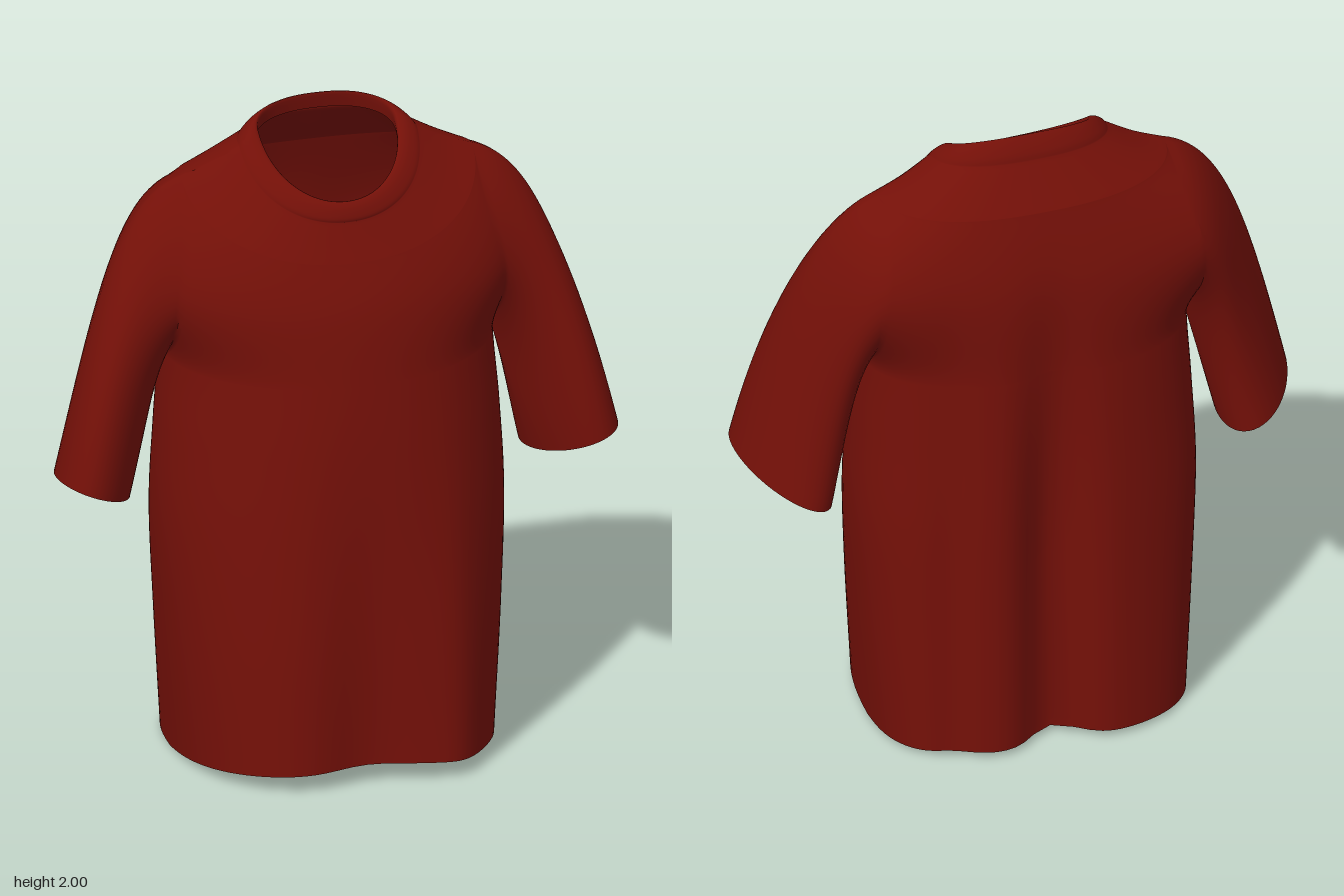
import * as THREE from 'three';

// Garment rings from hem to neck:
// half width, side y, side z, front y, front z, back y, back z, roundness
const BODY = [
  [0.48, 0.0, -0.07, 0.06, 0.435, 0.02, -0.44, 0.8],
  [0.51, 0.4, -0.06, 0.42, 0.415, 0.4, -0.43, 0.88],
  [0.53, 0.75, -0.06, 0.77, 0.385, 0.75, -0.42, 0.96],
  [0.52, 1.03, -0.06, 1.03, 0.355, 1.03, -0.405, 1.0],
  [0.503, 1.27, -0.07, 1.25, 0.32, 1.27, -0.387, 1.0],  // armpit
  [0.5, 1.55, -0.075, 1.46, 0.28, 1.56, -0.36, 1.0],
  [0.45, 1.83, -0.06, 1.61, 0.226, 1.8, -0.292, 0.95],  // shoulder point
];
const YOKE = [
  BODY[6],
  [0.36, 1.864, -0.052, 1.667, 0.2, 1.87, -0.245, 0.94],
  [0.275, 1.91, -0.042, 1.722, 0.176, 1.93, -0.205, 0.95],
];
const COLLAR = [
  YOKE[2],
  [0.262, 1.925, -0.044, 1.735, 0.178, 1.953, -0.199, 0.95],
  [0.235, 1.944, -0.052, 1.765, 0.168, 1.985, -0.181, 0.97],
  [0.21, 1.942, -0.058, 1.78, 0.152, 2.0, -0.165, 0.98],
  [0.213, 1.9, -0.06, 1.74, 0.148, 1.95, -0.172, 0.98],
];
const ARMPIT = 4, SHOULDER = 6, ARM_STEPS = 24, HALF = 56;
const ARM_FRONT = 0.19, ARM_BACK = 0.225;

// Smooth interpolation through the ring table
function ringAt(rows, t) {
  const i = Math.min(Math.floor(t), rows.length - 2), f = t - i;
  const at = (k) => rows[Math.max(0, Math.min(rows.length - 1, k))];
  return rows[0].map((_, c) => {
    const [a, b, d, e] = [at(i - 1)[c], at(i)[c], at(i + 1)[c], at(i + 2)[c]];
    return b + 0.5 * f * (d - a + f * (2 * a - 5 * b + 4 * d - e + f * (3 * (b - d) + e - a)));
  });
}

const bump = (x, c, r) => Math.exp(-(((x - c) / r) ** 2));
const fade = (y, from, to) => 1 - THREE.MathUtils.smoothstep(y, from, to);

// Point on the front or back half of a ring, f running 0..1 from +x to -x.
// The half oval is cut off at its sides where the armhole is open (0..1).
function ringPoint(ring, f, front, open = 0) {
  const [w, ys, zs, yf, zf, yb, zb, round] = ring;
  const e = front ? round : round * 0.88;
  const depth = (front ? zf : zb) - zs, rise = (front ? yf : yb) - ys;
  const gap = (front ? ARM_FRONT : ARM_BACK) * open;
  const cut = Math.asin((gap / Math.abs(depth)) ** (1 / e));
  const phi = cut + (Math.PI - 2 * cut) * f;
  const c = Math.cos(phi) / Math.cos(cut);
  const x = w * Math.sign(c) * Math.abs(c) ** e;
  const s = Math.abs(Math.sin(phi)) ** e;
  const y = ys + rise * s;
  let z = zs + depth * s;
  // Hanging folds, fading out towards the chest and shoulder blades
  if (front) z += s * fade(y, -0.3, 1.5) * (0.04 * bump(x, 0.3, 0.09) - 0.068 * bump(x, 0, 0.15));
  else z += s * fade(y, 0.6, 1.8) * (0.1 * bump(x, 0, 0.1) + 0.025 * bump(x, 0.32, 0.07));
  return new THREE.Vector3(x, y, z);
}

// Shared vertex pool, so that normals run smoothly across the seams
function makePool() {
  const pos = [], ids = new Map(), parts = {};
  const id = (p) => {
    const key = [p.x, p.y, p.z].map((v) => Math.round(v * 1e5)).join();
    if (!ids.has(key)) {
      ids.set(key, pos.length / 3);
      pos.push(p.x, p.y, p.z);
    }
    return ids.get(key);
  };
  return {
    pos, parts,
    strip(name, rows) {
      const index = (parts[name] ??= []);
      const g = rows.map((r) => r.map(id));
      for (let r = 0; r + 1 < g.length; r++) {
        for (let j = 0; j + 1 < g[r].length; j++) {
          const [a, b, c, d] = [g[r][j], g[r + 1][j], g[r][j + 1], g[r + 1][j + 1]];
          for (const t of [[a, b, c], [c, b, d]]) {
            if (t[0] !== t[1] && t[1] !== t[2] && t[0] !== t[2]) index.push(...t);
          }
        }
      }
    },
  };
}

// Armhole, from the armpit (angle 0) to the shoulder (angle PI)
const armAngle = (i) => (Math.PI * i) / ARM_STEPS;
const armHeight = (a) => (1 - Math.cos(a)) / 2;
const armRing = (a) => ringAt(BODY, ARMPIT + (SHOULDER - ARMPIT) * armHeight(a));
const armOpen = (a) => Math.max(0, Math.sin(a)) ** (1.75 - 0.65 * armHeight(a));

// Line from the armhole edge to the cuff at one angle around the sleeve
function sleeveCurve(a, front) {
  const u = armHeight(a), cs = Math.cos(a), sn = Math.sin(a) * (front ? 1 : -1);
  const start = ringPoint(armRing(a), 0, front, armOpen(a));
  const cuff = new THREE.Vector3(0.735 - 0.116 * cs + 0.042 * sn, 0.89 - 0.045 * cs + 0.038 * sn, -0.023 + 0.205 * sn);
  const mix = THREE.MathUtils.lerp;
  const out = start.clone().add(new THREE.Vector3(mix(0.03, 0.2, u), mix(-0.12, -0.06, u), -0.04 * sn));
  const up = cuff.clone().add(new THREE.Vector3(mix(-0.04, -0.115, u), mix(0.16, 0.5, u), -0.03 * sn));
  return new THREE.CubicBezierCurve3(start, out, up, cuff);
}

export function createModel() {
  const pool = makePool();

  // Torso rings: below the armpit, along the armhole, then the yoke
  const rings = [];
  for (let i = 0; i < 32; i++) rings.push([ringAt(BODY, (ARMPIT * i) / 32), 0]);
  for (let i = 0; i < ARM_STEPS; i++) rings.push([armRing(armAngle(i)), armOpen(armAngle(i))]);
  for (let i = 0; i <= 8; i++) rings.push([ringAt(YOKE, i / 4), 0]);
  const collar = [];
  for (let i = 0; i <= 16; i++) collar.push([ringAt(COLLAR, i / 4), 0]);

  for (const [name, list] of [['torso', rings], ['collar', collar]]) {
    for (const front of [true, false]) {
      pool.strip(name, list.map(([ring, open]) => Array.from({ length: HALF + 1 }, (_, j) =>
        ringPoint(ring, front ? j / HALF : 1 - j / HALF, front, open))));
    }
  }

  // Sleeves, the right one mirrored
  const curves = [];
  for (let i = 0; i <= ARM_STEPS; i++) curves.push(sleeveCurve(armAngle(i), true));
  for (let i = ARM_STEPS - 1; i >= 0; i--) curves.push(sleeveCurve(armAngle(i), false));
  const sleeve = Array.from({ length: 29 }, (_, k) => curves.map((c) => c.getPoint(k / 28)));
  const flip = new THREE.Vector3(-1, 1, 1);
  pool.strip('leftSleeve', sleeve);
  pool.strip('rightSleeve', sleeve.map((r) => r.map((p) => p.clone().multiply(flip)).reverse()));

  // One smooth surface, split into named parts
  const whole = new THREE.BufferGeometry();
  whole.setAttribute('position', new THREE.Float32BufferAttribute(pool.pos, 3));
  whole.setIndex(Object.values(pool.parts).flat());
  whole.computeVertexNormals();

  const cloth = new THREE.MeshStandardMaterial({ color: 0x741008, side: THREE.DoubleSide });
  const shirt = new THREE.Group();
  shirt.name = 'shirt';
  for (const [name, index] of Object.entries(pool.parts)) {
    whole.setIndex(index);
    const mesh = new THREE.Mesh(whole.toNonIndexed(), cloth);
    mesh.name = name;
    shirt.add(mesh);
  }
  return shirt;
}
